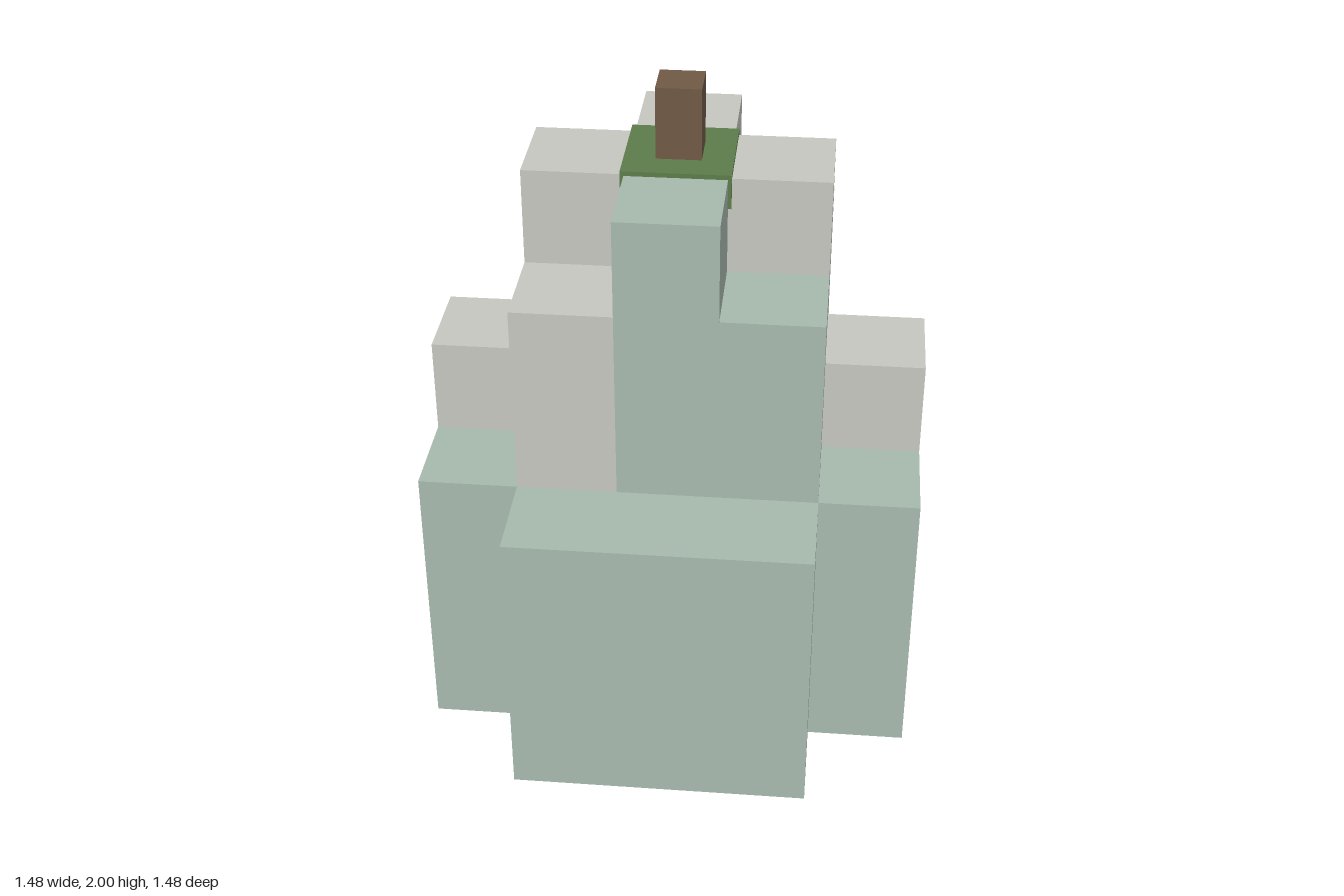
import * as THREE from 'three';

const U = 0.295; // edge length of one block

export function createModel() {
  const model = new THREE.Group();
  const material = (name, color) => {
    const m = new THREE.MeshStandardMaterial({ color });
    m.name = name;
    return m;
  };
  const green = material('pale green', 0xa8bbaf);
  const grey = material('pale grey', 0xc8c8c2);
  const leaf = material('leaf green', 0x5e7d4c);
  const brown = material('stem brown', 0x705a46);

  const box = (name, mat, x0, x1, y0, y1, z0, z1) => {
    const mesh = new THREE.Mesh(new THREE.BoxGeometry(x1 - x0, y1 - y0, z1 - z0), mat);
    mesh.position.set((x0 + x1) / 2, (y0 + y1) / 2, (z0 + z1) / 2);
    mesh.name = name;
    model.add(mesh);
  };
  // Box over a range of grid cells (-2..2) and block heights
  const blocks = (name, mat, i0, i1, j0, j1, h0, h1) =>
    box(name, mat, (i0 - 0.5) * U, (i1 + 0.5) * U, h0 * U, h1 * U, (j0 - 0.5) * U, (j1 + 0.5) * U);

  // Outer ribs, three blocks high
  blocks('frontRib', green, -1, 1, 2, 2, 0, 3);
  blocks('backRibGreen', green, -1, -1, -2, -2, 0, 3);
  blocks('backRibGrey', grey, 0, 1, -2, -2, 0, 3);
  blocks('rightRib', green, -2, -2, -1, 1, 0, 3);
  blocks('leftRibGreen', green, 2, 2, 1, 1, 0, 3);
  blocks('leftRibGrey', grey, 2, 2, -1, 0, 0, 3);

  // Raised side blocks
  for (const s of [-2, 2]) blocks('sideBump', grey, s, s, 0, 0, 3, 4);

  // Base cross, leaving four open pockets underneath
  blocks('baseCross', green, -1, 1, 0, 0, 0, 1);
  for (const s of [-1, 1]) blocks('baseCrossArm', green, 0, 0, s, s, 0, 1);

  // Inner columns: corners five blocks high, cross arms six
  for (let i = -1; i <= 1; i++) {
    for (let j = -1; j <= 1; j++) {
      const mat = j === 1 && i >= 0 ? green : grey;
      const top = i === 0 && j === 0 ? 5.6 : i === 0 || j === 0 ? 6 : 5;
      blocks('innerColumn', mat, i, i, j, j, 1, top);
    }
  }

  // Leaf cap and stem
  box('leafCap', leaf, -0.158, 0.158, 1.68, 1.784, -0.16, 0.158);
  box('stem', brown, -0.066, 0.066, 1.784, 2, -0.066, 0.066);

  return model;
}
